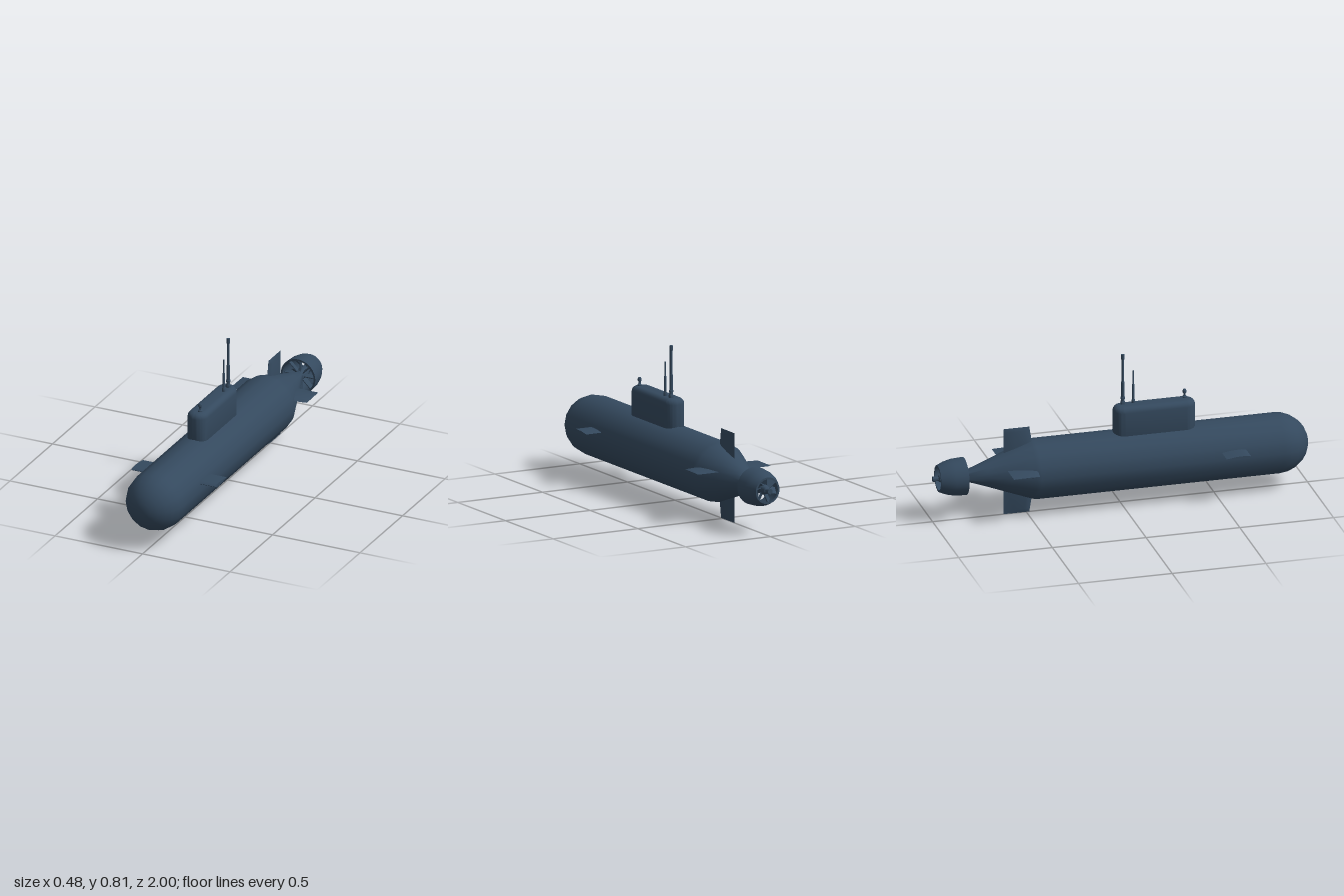
import * as THREE from 'three';
import { toCreasedNormals } from 'three/addons/utils/BufferGeometryUtils.js';

const AXIS_Y = 0.236;   // height of the hull's axis
const HULL_R = 0.158;

export function createModel() {
  const group = new THREE.Group();
  group.name = 'submarine';
  const paint = new THREE.MeshStandardMaterial({ color: 0x34495e });

  const add = (name, geometry, x = 0, y = 0, z = 0, parent = group) => {
    const mesh = new THREE.Mesh(geometry, paint);
    mesh.name = name;
    mesh.position.set(x, y, z);
    parent.add(mesh);
    return mesh;
  };
  const lathe = (pts, sides, crease = 0.6) => toCreasedNormals(
    new THREE.LatheGeometry(pts.map(([r, h]) => new THREE.Vector2(r, h)), sides), crease);

  // Hull: tail cone, straight body and rounded nose, from stern to bow
  const hull = [[0.024, -0.84], [0.066, -0.72], [0.107, -0.61], [0.153, -0.485], [HULL_R, -0.46]];
  for (let i = 0; i <= 6; i++) {
    const a = i / 6 * Math.PI / 2;
    hull.push([HULL_R * Math.cos(a), 0.835 + 0.163 * Math.sin(a)]);
  }
  add('hull', lathe(hull, 16, 0.8).rotateX(Math.PI / 2), 0, AXIS_Y);

  // Sail: a rounded slab with a soft upper edge
  const w = 0.055, front = 0.398, back = -0.038, bevel = 0.03;
  const plan = new THREE.Shape();
  plan.absarc(0, -back - w, w, 0, Math.PI, false);
  plan.absarc(0, -front + w, w, Math.PI, Math.PI * 2, false);
  plan.closePath();
  const sail = new THREE.ExtrudeGeometry(plan, {
    depth: 0.538 - 0.3 - 2 * bevel, curveSegments: 12, bevelSize: bevel,
    bevelThickness: bevel, bevelOffset: -bevel, bevelSegments: 5,
  });
  sail.translate(0, 0, bevel).rotateX(-Math.PI / 2);
  add('sail', toCreasedNormals(sail, 0.7), 0, 0.3);

  // Masts, given as [radius, height] profiles
  const masts = {
    periscope: [0.013, 0.018, [[0.013, 0.52], [0.013, 0.548], [0.009, 0.558], [0.009, 0.566], [0.012, 0.567],
      [0.012, 0.576], [0.009, 0.577], [0.009, 0.66], [0.0075, 0.662], [0.0075, 0.785],
      [0.009, 0.787], [0.009, 0.812], [0, 0.812]]],
    antenna: [0.015, 0.075, [[0.01, 0.52], [0.01, 0.55], [0.006, 0.56], [0.006, 0.64],
      [0.004, 0.643], [0.003, 0.716], [0, 0.716]]],
    sensor: [0.013, 0.348, [[0.012, 0.52], [0.012, 0.543], [0.006, 0.549], [0.006, 0.56],
      [0.01, 0.565], [0.01, 0.576], [0.006, 0.583], [0, 0.583]]],
  };
  for (const [name, [x, z, pts]] of Object.entries(masts)) add(name, lathe(pts, 12), x, 0, z);

  // Fins: an aerofoil lofted along +x through [span, lead z, trail z, thickness]
  const foil = [[0, 0], [0.06, -0.32], [0.22, -0.5], [0.6, -0.42], [1, 0], [0.6, 0.42], [0.22, 0.5], [0.06, 0.32]];
  const fin = (stations) => {
    const pos = [], idx = [], n = foil.length;
    for (const [s, lead, trail, t] of stations)
      for (const [c, h] of foil) pos.push(s, h * t, lead + (trail - lead) * c);
    for (let j = 0; j < stations.length - 1; j++) {
      for (let i = 0; i < n; i++) {
        const a = j * n + i, b = j * n + (i + 1) % n;
        idx.push(a, b, a + n, b, b + n, a + n);
      }
    }
    const tip = (stations.length - 1) * n;
    for (let i = 1; i < n - 1; i++) idx.push(tip, tip + i, tip + i + 1);
    const g = new THREE.BufferGeometry();
    g.setAttribute('position', new THREE.Float32BufferAttribute(pos, 3));
    g.setIndex(idx);
    return toCreasedNormals(g, 0.6);
  };
  const bowPlane = fin([[0.1, 0.635, 0.503, 0.018], [0.24, 0.635, 0.503, 0.018]]);
  const sternPlane = fin([[0.04, -0.462, -0.625, 0.014], [0.205, -0.484, -0.625, 0.014], [0.215, -0.486, -0.625, 0.004]]);
  const rudder = fin([[0.04, -0.452, -0.622, 0.016], [0.216, -0.481, -0.622, 0.016], [0.236, -0.484, -0.622, 0.001]]);
  for (const [side, turn] of [['left', 0], ['right', Math.PI]]) {
    add(side + 'BowPlane', bowPlane, 0, 0.275, 0).rotation.z = turn;
    add(side + 'SternPlane', sternPlane, 0, 0.277, 0).rotation.z = turn;
  }
  add('upperRudder', rudder, 0, AXIS_Y).rotation.z = Math.PI / 2;
  add('lowerRudder', rudder, 0, AXIS_Y).rotation.z = -Math.PI / 2;

  // Ducted propeller
  const drive = new THREE.Group();
  drive.name = 'propulsor';
  drive.position.y = AXIS_Y;
  group.add(drive);
  add('duct', lathe([[0.07, -0.972], [0.086, -0.935], [0.095, -0.895], [0.099, -0.83], [0.089, -0.83],
    [0.084, -0.895], [0.076, -0.935], [0.06, -0.972], [0.07, -0.972]], 32).rotateX(Math.PI / 2), 0, 0, 0, drive);
  add('hub', lathe([[0, -1], [0.014, -1], [0.014, -0.984], [0.011, -0.983], [0.011, -0.97], [0.018, -0.965],
    [0.026, -0.94], [0.028, -0.88], [0.024, -0.83]], 16).rotateX(Math.PI / 2), 0, 0, 0, drive);

  // Radial vanes, twisted about their own length
  const ring = (name, count, length, chord, z, pitch) => {
    const blade = new THREE.BoxGeometry(0.005, length, chord);
    blade.rotateY(pitch).translate(0, 0.018 + length / 2, 0);
    for (let i = 0; i < count; i++)
      add(name, blade, 0, 0, z, drive).rotation.z = i / count * Math.PI * 2;
  };
  ring('stator', 8, 0.07, 0.03, -0.862, 0.15);
  ring('propellerBlade', 7, 0.056, 0.045, -0.925, 0.75);

  return group;
}
